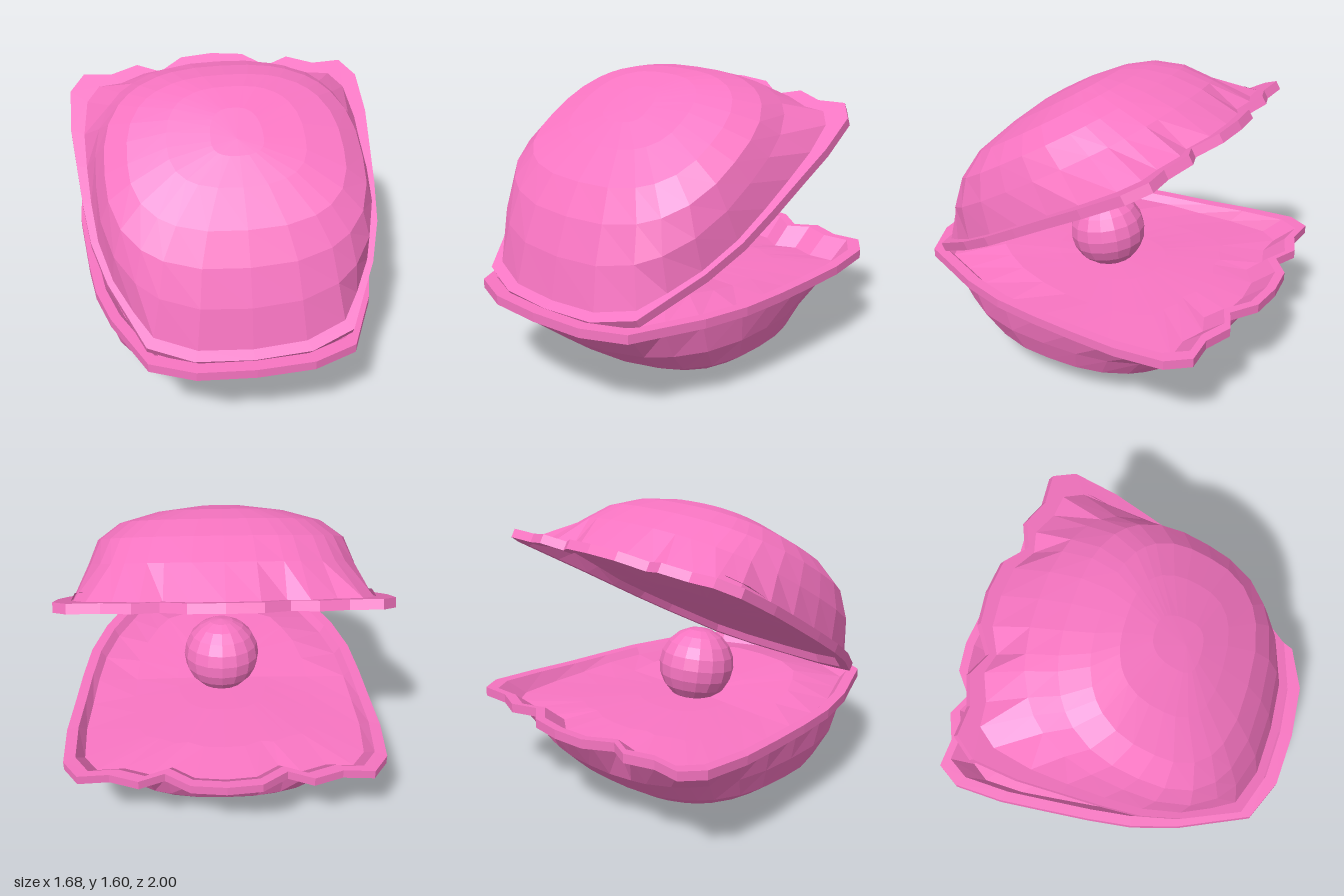
import * as THREE from 'three';

const material = new THREE.MeshStandardMaterial({ color: 0xf875c2, flatShading: true });

// Half of the rim outline as [x, z], from the hinge (front) to the scalloped lip (back)
const half = [
  [0, 1], [0.3, 0.98], [0.53, 0.88], [0.61, 0.7], [0.7, 0.5], [0.77, 0.25], [0.8, 0], [0.82, -0.25], [0.84, -0.5],
  [0.83, -0.77], [0.75, -0.89], [0.59, -0.88], [0.44, -0.94], [0.31, -0.88], [0.18, -0.98], [0, -1],
];
const outline = [...half, ...half.slice(1, -1).reverse().map(([x, z]) => [-x, z])];

// Rounded outline without scallops, used for the dome
const rounded = outline.map(([x, z]) => {
  const c = x / 0.84;
  const f = (Math.abs(c) ** 2.6 + Math.abs(z) ** 2.6) ** (-1 / 2.6);
  return [x * f, z * f];
});

// Cross-section rings: [height, x scale, front z scale, back z scale, roundness, front rise, back drop]
const rings = [
  // dome, from its lowest point to the rim
  [0, 0, 0, 0, 1, 0, 0],
  [0.005, 0.16, 0.1, 0.2, 1, 0, 0],
  [0.035, 0.42, 0.27, 0.36, 1, 0, 0],
  [0.09, 0.66, 0.44, 0.53, 1, 0, 0],
  [0.18, 0.8, 0.61, 0.66, 1, 0, 0],
  [0.31, 0.86, 0.78, 0.79, 0.95, 0, 0],
  [0.48, 0.93, 0.94, 0.93, 0.3, 0, 0],
  // rim band
  [0.48, 1, 1, 1, 0, 0, 0],
  [0.53, 1, 1, 1, 0, 0, 0],
  [0.53, 0.93, 0.93, 0.95, 0, 0, 0],
  // shallow inner floor
  [0.49, 0.89, 0.89, 0.82, 0, 0, 0.06],
  [0.49, 0.6, 0.6, 0.6, 0.5, 0.08, 0.02],
  [0.495, 0.3, 0.3, 0.3, 1, 0.045, 0],
  [0.5, 0, 0, 0, 1, 0, 0],
];

// One shell half; flipped turns it upside down with its rim face on y = 0
function shellGeometry(lift, flipped) {
  const n = outline.length;
  const pos = [];
  const index = [];
  rings.forEach(([h, sx, sf, sb, round, rise, drop], i) => {
    outline.forEach(([ox, oz], j) => {
      const x = THREE.MathUtils.lerp(ox, rounded[j][0], round) * sx;
      const rz = THREE.MathUtils.lerp(oz, rounded[j][1], round);
      const z = rz * (rz > 0 ? sf : sb) - (i < 3 ? 0.05 : 0);
      // the rim lifts towards the lip
      const t = h > 0.4 ? Math.max(0, -z) ** 2 : 0;
      const y = h + t * lift + drop * Math.min(0, oz);
      pos.push(x, flipped ? 0.53 - y : y + rise * Math.max(0, oz), z);
    });
  });
  const tri = (a, b, c) => (flipped ? index.push(a, c, b) : index.push(a, b, c));
  for (let i = 0; i < rings.length - 1; i++) {
    for (let j = 0; j < n; j++) {
      const k = (j + 1) % n;
      const a = i * n + j, b = i * n + k, c = b + n, d = a + n;
      if (i > 0) tri(a, b, c);
      if (i < rings.length - 2) tri(a, c, d);
    }
  }
  const geometry = new THREE.BufferGeometry();
  geometry.setAttribute('position', new THREE.Float32BufferAttribute(pos, 3));
  geometry.setIndex(index);
  const flat = geometry.toNonIndexed();
  flat.computeVertexNormals();
  return flat;
}

function addMesh(parent, name, geometry) {
  const mesh = new THREE.Mesh(geometry, material);
  mesh.name = name;
  parent.add(mesh);
  return mesh;
}

export function createModel() {
  const model = new THREE.Group();
  model.name = 'clam';

  addMesh(model, 'lowerShell', shellGeometry(0.05, false));

  // Slightly shorter upper shell, swung open about the front hinge
  const hinge = new THREE.Group();
  hinge.name = 'upperShellHinge';
  hinge.position.set(0, 0.43, 0.98);
  hinge.rotation.x = THREE.MathUtils.degToRad(30.8);
  const upperGeometry = shellGeometry(0.02, true).scale(1, 1, 0.95).translate(0, 0, -1.05);
  addMesh(hinge, 'upperShell', upperGeometry);
  model.add(hinge);

  // Pearl resting on the lower floor
  const pearl = addMesh(model, 'pearl', new THREE.SphereGeometry(0.212, 16, 10));
  pearl.position.set(0, 0.655, 0.03);
  pearl.rotation.x = 0.17;

  return model;
}
